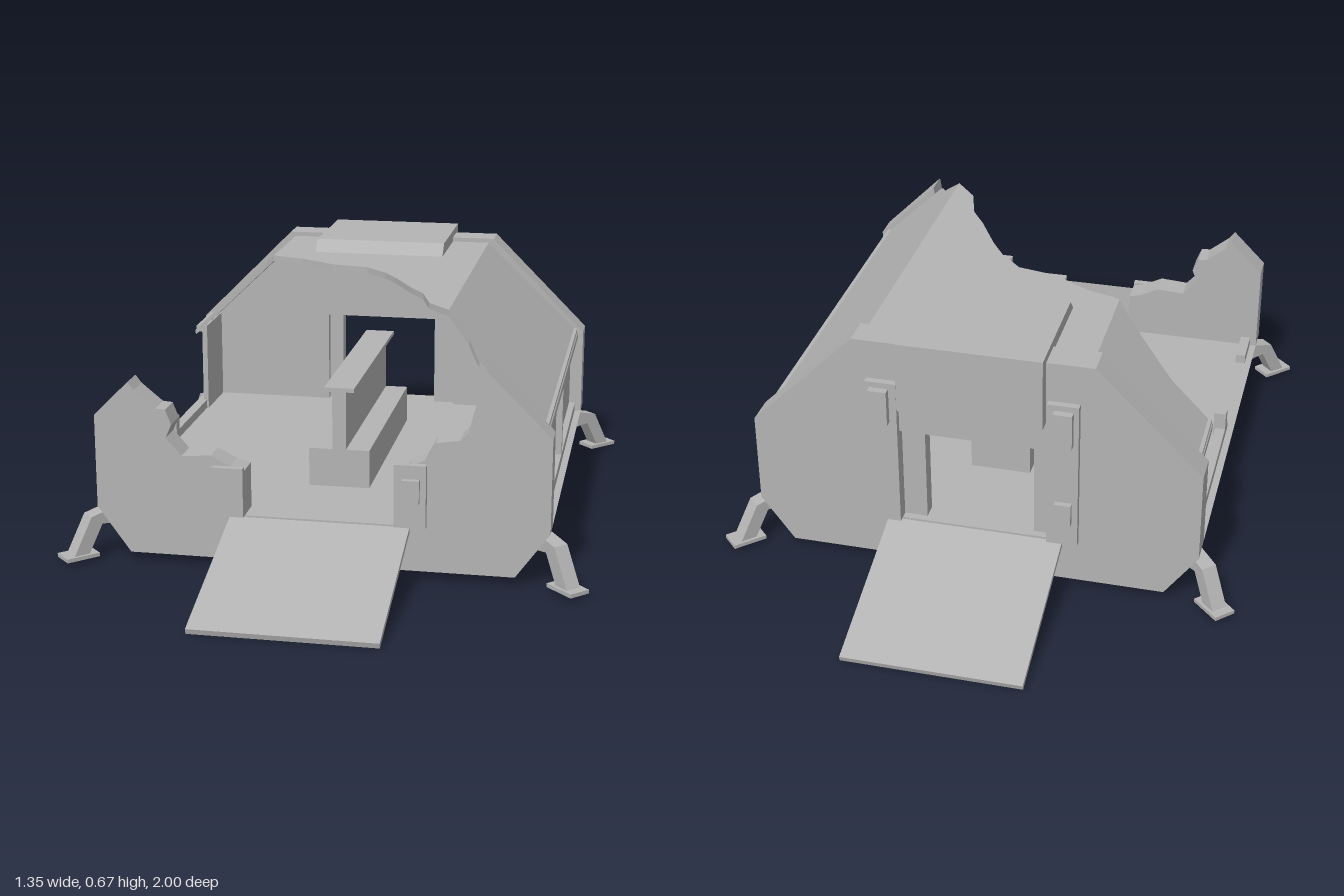
import * as THREE from 'three';

const grey = new THREE.MeshStandardMaterial({ color: 0xb4b4b4 });
grey.name = 'weathered grey';

export function createModel() {
  const model = new THREE.Group();
  model.name = 'ruinedShelter';

  const add = (name, geometry, parent = model) => {
    const mesh = new THREE.Mesh(geometry, grey);
    mesh.name = name;
    parent.add(mesh);
    return mesh;
  };
  // Box given by its limits on each axis
  const box = (name, x0, x1, y0, y1, z0, z1) => {
    const g = new THREE.BoxGeometry(x1 - x0, y1 - y0, z1 - z0);
    return add(name, g.translate((x0 + x1) / 2, (y0 + y1) / 2, (z0 + z1) / 2));
  };
  const outline = (pts) => new THREE.Shape(pts.map(([a, b]) => new THREE.Vector2(a, b)));
  // Outline in x and y, extruded from z0 to z1
  const slab = (name, pts, z0, z1) => {
    const g = new THREE.ExtrudeGeometry(outline(pts), { depth: z1 - z0, bevelEnabled: false });
    return add(name, g.translate(0, 0, z0));
  };

  // Floor hull with sloping lower sides
  slab('baseHull', [[-0.49, 0.025], [0.49, 0.025], [0.575, 0.143], [-0.575, 0.143]], -0.58, 0.57);

  // Intact back wall around its doorway
  slab('backWall', [
    [-0.575, 0.143], [-0.19, 0.143], [-0.19, 0.405], [0.19, 0.405], [0.19, 0.143], [0.575, 0.143],
    [0.575, 0.385], [0.305, 0.655], [-0.305, 0.655], [-0.575, 0.385],
  ], -0.58, -0.5);
  box('backDoorJamb', -0.19, -0.15, 0.143, 0.405, -0.56, -0.52);
  box('backDoorJamb', 0.13, 0.19, 0.143, 0.405, -0.56, -0.52);

  // Broken remains of the front wall
  slab('frontWallRight', [
    [-0.575, 0.143], [-0.19, 0.143], [-0.19, 0.26], [-0.225, 0.27], [-0.275, 0.295], [-0.35, 0.29],
    [-0.39, 0.335], [-0.375, 0.37], [-0.39, 0.408], [-0.415, 0.41], [-0.47, 0.455], [-0.485, 0.475],
    [-0.575, 0.385],
  ], 0.5, 0.57);
  slab('frontWallLeft', [
    [0.19, 0.143], [0.575, 0.143], [0.575, 0.385], [0.41, 0.55], [0.4, 0.49], [0.385, 0.45],
    [0.37, 0.39], [0.35, 0.37], [0.29, 0.36], [0.265, 0.315], [0.225, 0.295], [0.19, 0.25],
  ], 0.5, 0.57);

  // Torn roof panels: flat outlines in x and z, lifted onto the roof line
  const roofY = (x) => 0.643 - Math.max(0, Math.abs(x) - 0.29) * 0.96;
  const roofPanel = (name, pts) => {
    const g = new THREE.ExtrudeGeometry(outline(pts.map(([x, z]) => [x, -z])), { depth: 0.016, bevelEnabled: false });
    g.rotateX(-Math.PI / 2).translate(0, -0.016, 0);
    const p = g.attributes.position;
    for (let i = 0; i < p.count; i++) p.setY(i, p.getY(i) + roofY(p.getX(i)));
    g.computeVertexNormals();
    add(name, g);
  };
  roofPanel('roofTop', [
    [-0.29, -0.5], [-0.29, -0.21], [-0.27, -0.2], [-0.2, -0.18], [-0.1, -0.12], [0, -0.1], [0.06, -0.04],
    [0.1, 0.02], [0.16, 0.13], [0.2, 0.19], [0.23, 0.29], [0.29, 0.36], [0.29, -0.5],
  ]);
  roofPanel('roofSlopeLeft', [
    [0.29, -0.5], [0.29, 0.36], [0.35, 0.42], [0.37, 0.47], [0.385, 0.5], [0.56, 0.5], [0.56, -0.5],
  ]);
  roofPanel('roofSlopeRight', [
    [-0.29, -0.5], [-0.56, -0.5], [-0.56, -0.33], [-0.45, -0.32], [-0.38, -0.28], [-0.32, -0.24], [-0.29, -0.21],
  ]);

  // Intact left wall: recessed panel, sill, header and posts
  box('leftWallPanel', 0.525, 0.54, 0.143, 0.39, -0.5, 0.5);
  box('leftWallSill', 0.525, 0.557, 0.143, 0.168, -0.5, 0.5);
  box('leftWallHeader', 0.525, 0.557, 0.378, 0.396, -0.5, 0.5);
  box('leftWallPost', 0.525, 0.557, 0.143, 0.39, -0.012, 0.012);

  // Broken right wall: stub at the back, low sill and snapped post
  box('rightWallStub', -0.54, -0.525, 0.143, 0.39, -0.5, -0.33);
  box('rightWallHeader', -0.557, -0.525, 0.378, 0.396, -0.5, -0.33);
  box('rightWallSill', -0.557, -0.53, 0.143, 0.168, -0.5, 0.035);
  box('rightWallSill', -0.557, -0.53, 0.143, 0.168, 0.39, 0.5);
  box('rightWallPost', -0.557, -0.525, 0.143, 0.215, -0.015, 0.015);

  // Inner bench with a dividing screen
  box('bench', -0.08, 0.08, 0.143, 0.245, -0.31, 0.31);
  box('dividingScreen', -0.018, 0.018, 0.245, 0.402, -0.31, 0.31);
  box('screenCap', -0.04, 0.04, 0.4, 0.411, -0.31, 0.31);

  // Door posts and their control boxes
  const post = (name, side, top, z) => box(name, Math.min(side * 0.19, side * 0.27),
    Math.max(side * 0.19, side * 0.27), 0.143, top, Math.min(z, z + Math.sign(z) * 0.018), Math.max(z, z + Math.sign(z) * 0.018));
  post('frontDoorPost', 1, 0.305, 0.57);
  post('frontDoorPost', -1, 0.27, 0.57);
  box('controlBox', 0.212, 0.255, 0.21, 0.27, 0.588, 0.603);
  post('backDoorPost', 1, 0.55, -0.58);
  post('backDoorPost', -1, 0.55, -0.58);
  box('controlBox', -0.255, -0.212, 0.21, 0.27, -0.613, -0.598);
  for (const s of [-1, 1]) {
    const lamp = box('doorLamp', -0.024, 0.024, 0.44, 0.535, -0.617, -0.598);
    lamp.position.x = s * 0.233;
  }

  // Hood over the back door, wrapping onto the roof
  const hood = new THREE.ExtrudeGeometry(outline([
    [0.275, 0.64], [0.31, 0.675], [0.615, 0.675], [0.615, 0.485], [0.57, 0.485], [0.57, 0.64],
  ]), { depth: 0.368, bevelEnabled: false });
  add('doorHood', hood.translate(0, 0, -0.184).rotateY(Math.PI / 2));

  // Access ramps, front and back
  for (const s of [-1, 1]) {
    const ramp = add('ramp', new THREE.BoxGeometry(0.456, 0.014, 0.444));
    ramp.position.set(0, 0.0705, s * 0.784);
    ramp.rotation.x = s * 0.284;
  }

  // Corner legs: stub, slanted strut and foot plate, pointing diagonally outward
  for (const sx of [-1, 1]) for (const sz of [-1, 1]) {
    const leg = new THREE.Group();
    leg.name = 'cornerLeg';
    leg.position.set(sx * 0.622, 0, sz * 0.595);
    leg.rotation.y = Math.atan2(sx, sz);
    const strut = new THREE.ExtrudeGeometry(outline([
      [-0.02, 0.02], [0.022, 0.02], [-0.03, 0.118], [-0.1, 0.135], [-0.1, 0.09], [-0.06, 0.095],
    ]), { depth: 0.042, bevelEnabled: false });
    add('strut', strut.translate(0, 0, -0.021).rotateY(-Math.PI / 2), leg);
    add('footPlate', new THREE.BoxGeometry(0.058, 0.01, 0.09).translate(0, 0.017, 0), leg);
    model.add(leg);
  }

  return model;
}
